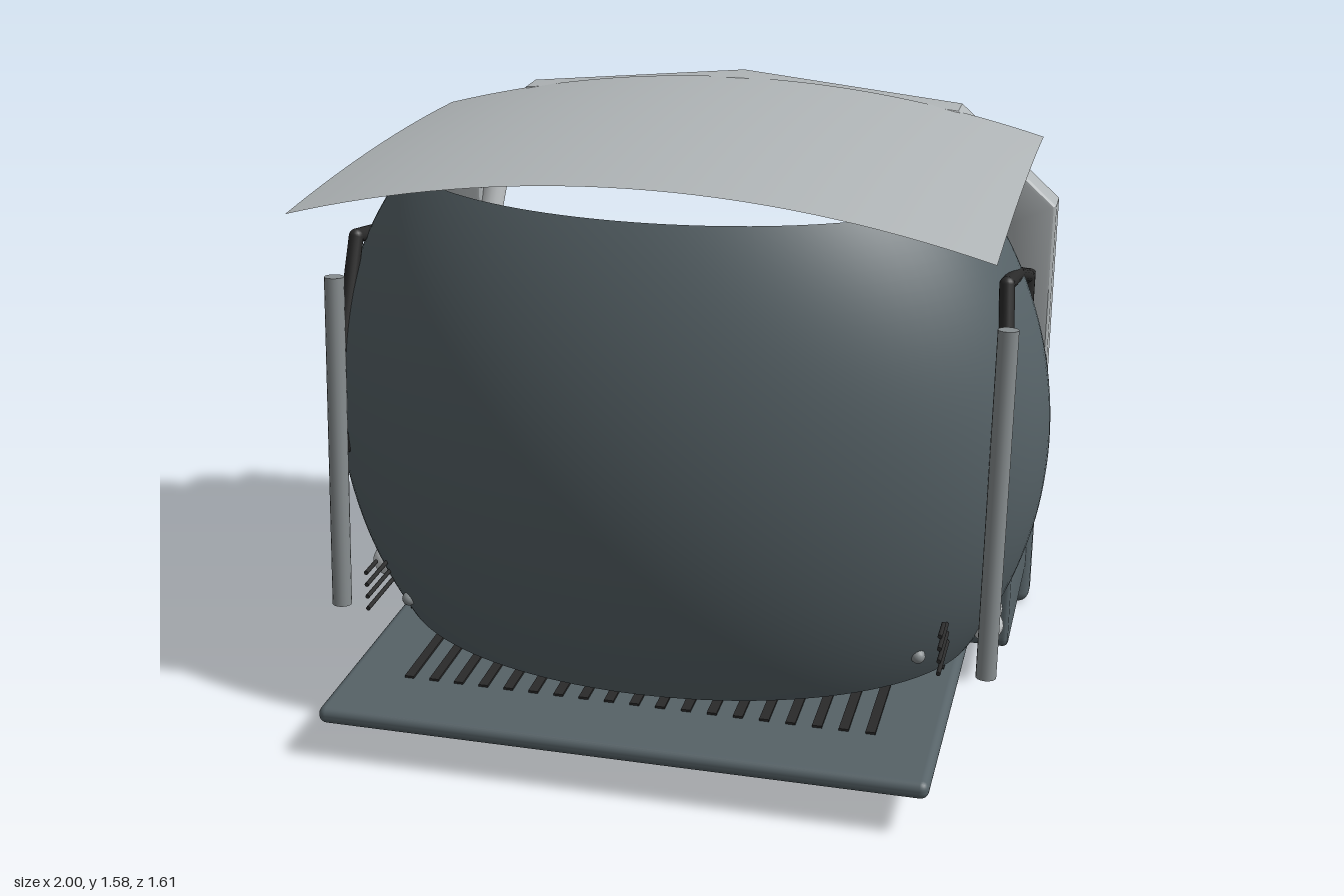
import * as THREE from 'three';
import { RoundedBoxGeometry } from 'three/addons/geometries/RoundedBoxGeometry.js';
import { toCreasedNormals } from 'three/addons/utils/BufferGeometryUtils.js';

function material(name, color, side = THREE.FrontSide) {
  const m = new THREE.MeshStandardMaterial({ color, side });
  m.name = name;
  return m;
}

export function createModel() {
  const model = new THREE.Group();
  model.name = 'operatorCab';
  const slate = material('slate', 0x566267);
  const glass = material('slateShell', 0x566267, THREE.DoubleSide);
  const sheet = material('roofGrey', 0xb0b5b7, THREE.DoubleSide);
  const light = material('lightGrey', 0xb0b5b7);
  const pale = material('paleGrey', 0xc6cacc);
  const steel = material('steelGrey', 0x878d8f);
  const black = material('black', 0x2a2a2a);

  function add(name, geometry, mat, parent = model) {
    const mesh = new THREE.Mesh(geometry, mat);
    mesh.name = name;
    parent.add(mesh);
    return mesh;
  }
  // Rounded box given by its minimum and maximum corners
  function box(name, a, b, r, mat) {
    const s = b.map((v, i) => v - a[i]);
    const mesh = add(name, new RoundedBoxGeometry(s[0], s[1], s[2], 3, r), mat);
    mesh.position.set(...b.map((v, i) => (v + a[i]) / 2));
    return mesh;
  }
  // Straight round bar between two points
  function bar(name, a, b, r0, r1, mat) {
    const p = new THREE.Vector3(...a), q = new THREE.Vector3(...b);
    const d = q.clone().sub(p);
    const mesh = add(name, new THREE.CylinderGeometry(r1, r0, d.length(), 16), mat);
    mesh.position.copy(p).add(q).multiplyScalar(0.5);
    mesh.quaternion.setFromUnitVectors(new THREE.Vector3(0, 1, 0), d.normalize());
    return mesh;
  }
  // Chain of bars with ball joints
  function pipe(name, pts, r, mat) {
    pts.forEach((p, i) => {
      add(name + 'Joint', new THREE.SphereGeometry(r, 16, 10), mat).position.set(...p);
      if (i) bar(name, pts[i - 1], p, r, r, mat);
    });
  }

  // Floor plate with its grille slots
  box('floorPlate', [-0.81, 0.107, -0.745], [0.81, 0.155, 0.8], 0.022, slate);
  for (let i = 0; i < 19; i++) {
    const slot = add('floorSlot', new THREE.BoxGeometry(0.026, 0.008, 0.4), black);
    slot.position.set((i - 9) * 0.07, 0.157, 0.385);
  }
  box('floorLiner', [-0.77, 0.158, -0.1], [0.77, 0.164, 0.2], 0.002, black);

  // Large bulging front shell
  const shell = add('bulgingShell', new THREE.SphereGeometry(1, 72, 40,
    -0.366, Math.PI + 0.732, 0.862, 1.31), glass);
  shell.scale.set(1, 1.06, 0.67);
  shell.position.y = 0.77;

  // Curved roof sheet
  const roofGeo = new THREE.PlaneGeometry(1.78, 1.245, 32, 16);
  roofGeo.rotateX(-Math.PI / 2).translate(0, 0, -0.02);
  const rp = roofGeo.attributes.position;
  for (let i = 0; i < rp.count; i++) {
    const x = rp.getX(i), z = rp.getZ(i);
    rp.setY(i, 1.588 - 0.125 * (x / 0.89) ** 2 - 0.018 * (z / 0.62) ** 2);
  }
  roofGeo.computeVertexNormals();
  add('roofSheet', roofGeo, sheet);

  // Console hanging below the roof
  box('roofConsole', [-0.29, 1.458, -0.29], [0.29, 1.496, -0.03], 0.015, slate);
  for (let i = 0; i < 9; i++) {
    add('consoleVent', new THREE.BoxGeometry(0.03, 0.006, 0.07), black)
      .position.set((i - 4) * 0.055, 1.457, -0.08);
  }

  // Rear body with a scooped front corner
  const side = new THREE.Shape();
  side.moveTo(-0.56, 0.135);
  side.lineTo(-0.06, 0.135);
  side.quadraticCurveTo(-0.035, 0.135, -0.035, 0.16);
  side.lineTo(-0.035, 0.37);
  side.bezierCurveTo(-0.15, 0.37, -0.255, 0.47, -0.255, 0.595);
  side.lineTo(-0.56, 0.595);
  side.closePath();
  const bodyGeo = new THREE.ExtrudeGeometry(side, { depth: 1.81, curveSegments: 16,
    bevelSize: 0.015, bevelThickness: 0.015, bevelSegments: 3 });
  bodyGeo.translate(0, 0, -0.905).rotateY(-Math.PI / 2);
  add('rearBody', toCreasedNormals(bodyGeo, 0.6), slate);
  box('rearWall', [-0.935, 0.005, -0.65], [0.935, 0.65, -0.548], 0.035, slate);
  box('rearRaisedPanel', [-0.72, 0.36, -0.662], [0.72, 0.585, -0.64], 0.01, slate);
  box('rearDeck', [-0.75, 0.58, -0.53], [0.75, 0.695, -0.36], 0.01, black);

  // Angular rear frame with its opening
  function archPoints(w, y0, y1, w2, y2, y3) {
    return [[-w, y0], [w, y0], [w, y1], [w2, y2], [0, y3], [-w2, y2], [-w, y1]]
      .map(p => new THREE.Vector2(...p));
  }
  const arch = new THREE.Shape(archPoints(0.925, 0.615, 1.24, 0.64, 1.495, 1.56));
  arch.holes.push(new THREE.Path(archPoints(0.815, 0.7, 1.19, 0.59, 1.4, 1.46)));
  const archGeo = new THREE.ExtrudeGeometry(arch, { depth: 0.08,
    bevelSize: 0.015, bevelThickness: 0.015, bevelSegments: 3 });
  archGeo.translate(0, 0, -0.715);
  add('rearFrame', toCreasedNormals(archGeo, 0.5), light);

  // Roll bar and slim upright in the opening
  pipe('rollBar', [[0.85, 0.65, -0.535], [0.77, 1.21, -0.68], [0.58, 1.44, -0.755],
    [0, 1.495, -0.768], [-0.58, 1.44, -0.755], [-0.77, 1.21, -0.68], [-0.85, 0.65, -0.535]],
  0.038, pale);
  bar('slimUpright', [0.34, 0.66, -0.72], [0.34, 1.44, -0.72], 0.014, 0.014, steel);

  // Low control boxes behind the shell
  box('controlBox', [0.1, 0.6, -0.33], [0.32, 0.655, -0.27], 0.015, slate);
  box('controlBox', [-0.3, 0.6, -0.33], [-0.1, 0.655, -0.27], 0.015, slate);

  for (const s of [-1, 1]) {
    // Front guard rod and the jointed arm that carries it
    bar('guardRod', [s * 0.9, 0.25, 0.385], [s * 0.9, 1.185, 0.3], 0.027, 0.027, steel);
    pipe('armLink', [[s * 0.885, 0.7, 0.305], [s * 0.9, 0.97, 0.275], [s * 0.88, 1.265, 0.18],
      [s * 0.885, 1.22, -0.05], [s * 0.895, 1.15, -0.26]], 0.02, black);
    bar('armPost', [s * 0.895, 1.16, -0.265], [s * 0.89, 0.68, -0.335], 0.023, 0.02, black);
    bar('armSocket', [s * 0.88, 0.6, -0.34], [s * 0.88, 0.7, -0.34], 0.034, 0.03, slate);
    bar('sideRail', [s * 0.88, 0.68, -0.34], [s * 0.88, 0.68, -0.54], 0.018, 0.018, black);

    // Lower bracket
    const bracket = bar('lowerBracket', [s * 0.87, 0.25, -0.06], [s * 0.87, 0.255, 0.12], 0.03, 0.035, pale);
    bracket.name = 'lowerBracket';
    add('bracketEnd', new THREE.SphereGeometry(0.046, 16, 12), pale).position.set(s * 0.87, 0.258, 0.1);

    // Side grille bars and knob
    [0.4, 0.33, 0.31, 0.29].forEach((z, i) => bar('sideGrilleBar',
      [s * 0.785, 0.4 - i * 0.036, 0.475], [s * 0.785, 0.4 - i * 0.036, z], 0.006, 0.006, black));
    add('sideKnob', new THREE.SphereGeometry(0.02, 14, 10), steel).position.set(s * 0.715, 0.268, 0.345);

    // Inner side pad and foot pedal
    box('innerPad', [s * 0.8 - 0.025, 0.68, -0.18], [s * 0.8 + 0.025, 1, 0.04], 0.024, pale);
    box('footPedal', [s * 0.13 - 0.055, 0.165, 0.2], [s * 0.13 + 0.055, 0.185, 0.36], 0.008, black);
  }
  return model;
}
